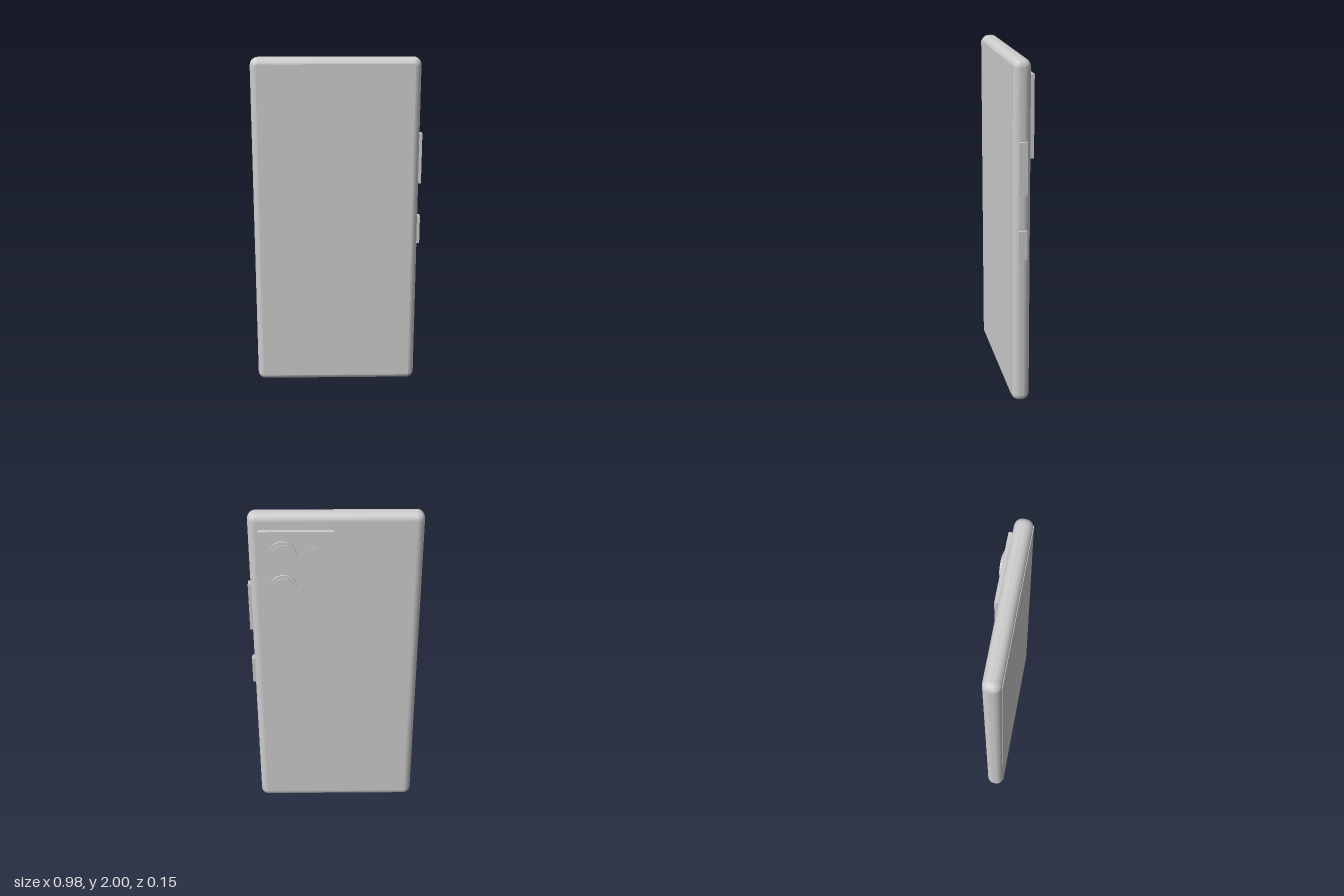
import * as THREE from 'three';
import { RoundedBoxGeometry } from 'three/addons/geometries/RoundedBoxGeometry.js';

export function createModel() {
  const phone = new THREE.Group();
  phone.name = 'phone';
  const grey = new THREE.MeshStandardMaterial({ color: 0xcccccc });
  grey.name = 'light grey';

  const add = (name, geometry, x, y, z) => {
    const mesh = new THREE.Mesh(geometry, grey);
    mesh.name = name;
    mesh.position.set(x, y, z);
    phone.add(mesh);
    return mesh;
  };
  // Box given by its lower and upper limits on each axis
  const box = (name, [x0, x1], [y0, y1], [z0, z1]) =>
    add(name, new THREE.BoxGeometry(x1 - x0, y1 - y0, z1 - z0),
      (x0 + x1) / 2, (y0 + y1) / 2, (z0 + z1) / 2);
  // Disc on the back, from z0 (inside) out to z1
  const disc = (name, radius, x, y, z0, z1) => {
    const mesh = add(name, new THREE.CylinderGeometry(radius, radius, z0 - z1, 40), x, y, (z0 + z1) / 2);
    mesh.rotation.x = -Math.PI / 2;
  };

  // Rounded body and front glass
  add('body', new RoundedBoxGeometry(0.965, 2, 0.103, 3, 0.045), -0.0075, 1, 0.0155);
  box('screen', [-0.455, 0.44], [0.035, 1.967], [0.061, 0.068]);

  // Side buttons
  box('volumeButton', [0.455, 0.49], [1.265, 1.56], [-0.01, 0.037]);
  box('powerButton', [0.455, 0.49], [0.895, 1.06], [-0.01, 0.037]);

  // Camera island with two stepped lenses and a flash
  box('cameraIsland', [0.005, 0.415], [1.45, 1.91], [-0.061, -0.03]);
  for (const y of [1.78, 1.575]) {
    disc('lensRing', 0.075, 0.285, y, -0.055, -0.072);
    disc('lensGlass', 0.058, 0.285, y, -0.065, -0.078);
  }
  disc('flash', 0.031, 0.107, 1.78, -0.055, -0.065);

  return phone;
}
